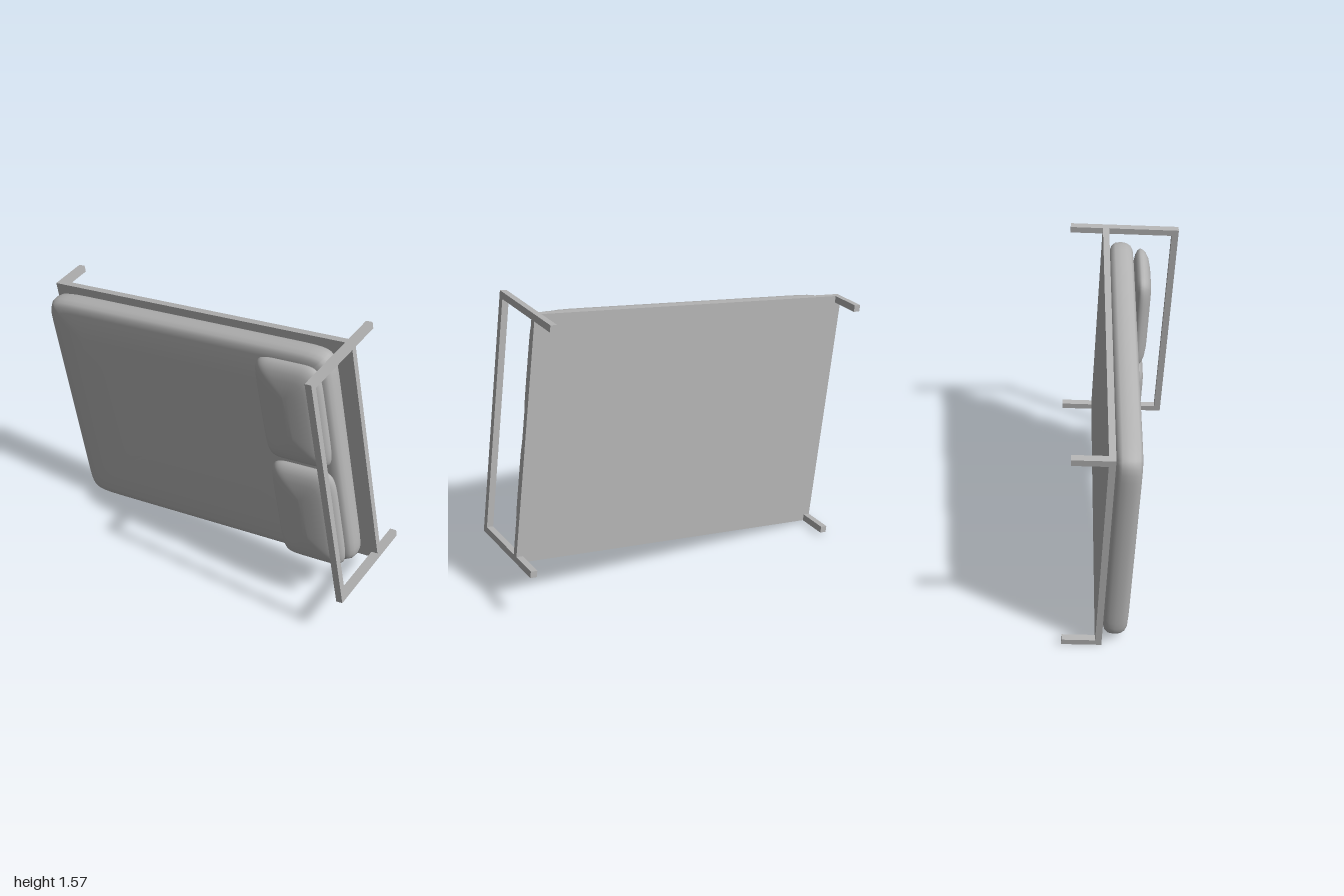
import * as THREE from 'three';

export function createModel() {
  const root = new THREE.Group();
  root.name = 'bedModel';
  const grey = new THREE.MeshStandardMaterial({ color: 0xb4b4b4 });
  grey.name = 'plain grey';

  // The bed is built with its floor at z = 0, head at +x, then tipped as a whole.
  const bed = new THREE.Group();
  bed.name = 'bed';
  root.add(bed);

  const add = (name, geometry, x, y, z) => {
    const mesh = new THREE.Mesh(geometry, grey);
    mesh.name = name;
    mesh.position.set(x, y, z);
    bed.add(mesh);
    return mesh;
  };
  const box = (name, sx, sy, sz, x, y, z) => add(name, new THREE.BoxGeometry(sx, sy, sz), x, y, z);

  // Soft slab: a superellipse outline stacked through [inset, height] levels.
  function cushion(hx, hy, power, levels, n = 24) {
    const outline = [];
    const corners = [[-1, -1], [1, -1], [1, 1], [-1, 1]];
    corners.forEach((c, k) => {
      const d = corners[(k + 1) % 4];
      for (let i = 0; i < n; i++) {
        const t = 0.5 - 0.5 * Math.cos((Math.PI * i) / n);
        const a = c[0] + (d[0] - c[0]) * t;
        const b = c[1] + (d[1] - c[1]) * t;
        const r = Math.pow(Math.abs(a) ** power + Math.abs(b) ** power, 1 / power);
        outline.push([a / r, b / r]);
      }
    });
    const m = outline.length, pos = [], idx = [];
    for (const [inset, z] of levels)
      for (const [a, b] of outline) pos.push(a * (hx - inset), b * (hy - inset), z);
    for (let l = 0; l < levels.length - 1; l++)
      for (let i = 0; i < m; i++) {
        const j = (i + 1) % m, p = l * m, q = p + m;
        idx.push(p + i, p + j, q + j, p + i, q + j, q + i);
      }
    // Close bottom and top with fans
    const last = (levels.length - 1) * m, low = pos.length / 3;
    pos.push(0, 0, levels[0][1], 0, 0, levels[levels.length - 1][1]);
    for (let i = 0; i < m; i++) {
      const j = (i + 1) % m;
      idx.push(low, j, i, low + 1, last + i, last + j);
    }
    const g = new THREE.BufferGeometry();
    g.setAttribute('position', new THREE.Float32BufferAttribute(pos, 3));
    g.setIndex(idx);
    g.computeVertexNormals();
    return g;
  }

  // Frame: base board, short foot legs, tall head posts and top rail
  const X = 0.879, Y = 0.6355, T = 0.035, H = 0.575;
  box('baseBoard', 2 * X + T, 2 * Y + T, 0.033, 0, 0, 0.187);
  for (const s of [-1, 1]) {
    box('footLeg', T, T, 0.2, -X, s * Y, 0.1);
    box('headPost', T, T, H, X, s * Y, H / 2);
  }
  box('headRail', T, 2 * Y - T, T, X, 0, H - T / 2);

  // Mattress with rounded edges
  const mattress = [[0.06, 0], [0.035, 0.003], [0.015, 0.012], [0.004, 0.03], [0, 0.06],
    [0.003, 0.09], [0.013, 0.112], [0.03, 0.124], [0.06, 0.129], [0.2, 0.131]];
  add('mattress', cushion(0.857, 0.633, 20, mattress), -0.027, 0, 0.205);

  // Two puffed pillows
  const pillow = [[0.12, -0.04], [0.06, -0.035], [0.025, -0.025], [0.006, -0.012], [0, 0],
    [0.004, 0.014], [0.016, 0.03], [0.04, 0.045], [0.08, 0.055], [0.13, 0.06], [0.17, 0.062]];
  for (const s of [-1, 1])
    add('pillow', cushion(0.185, 0.292, 7, pillow), 0.63, s * 0.307, 0.37);

  // Tip the bed so that its floor side faces back
  const u = new THREE.Vector3(1.734, 0.265, -0.109).normalize();
  const w = new THREE.Vector3(-0.185, 1.255, 0.08);
  w.addScaledVector(u, -w.dot(u)).normalize();
  const up = new THREE.Vector3().crossVectors(u, w);
  bed.applyMatrix4(new THREE.Matrix4().makeBasis(u, w, up).setPosition(-0.0225, 0.793, -0.233));
  return root;
}
